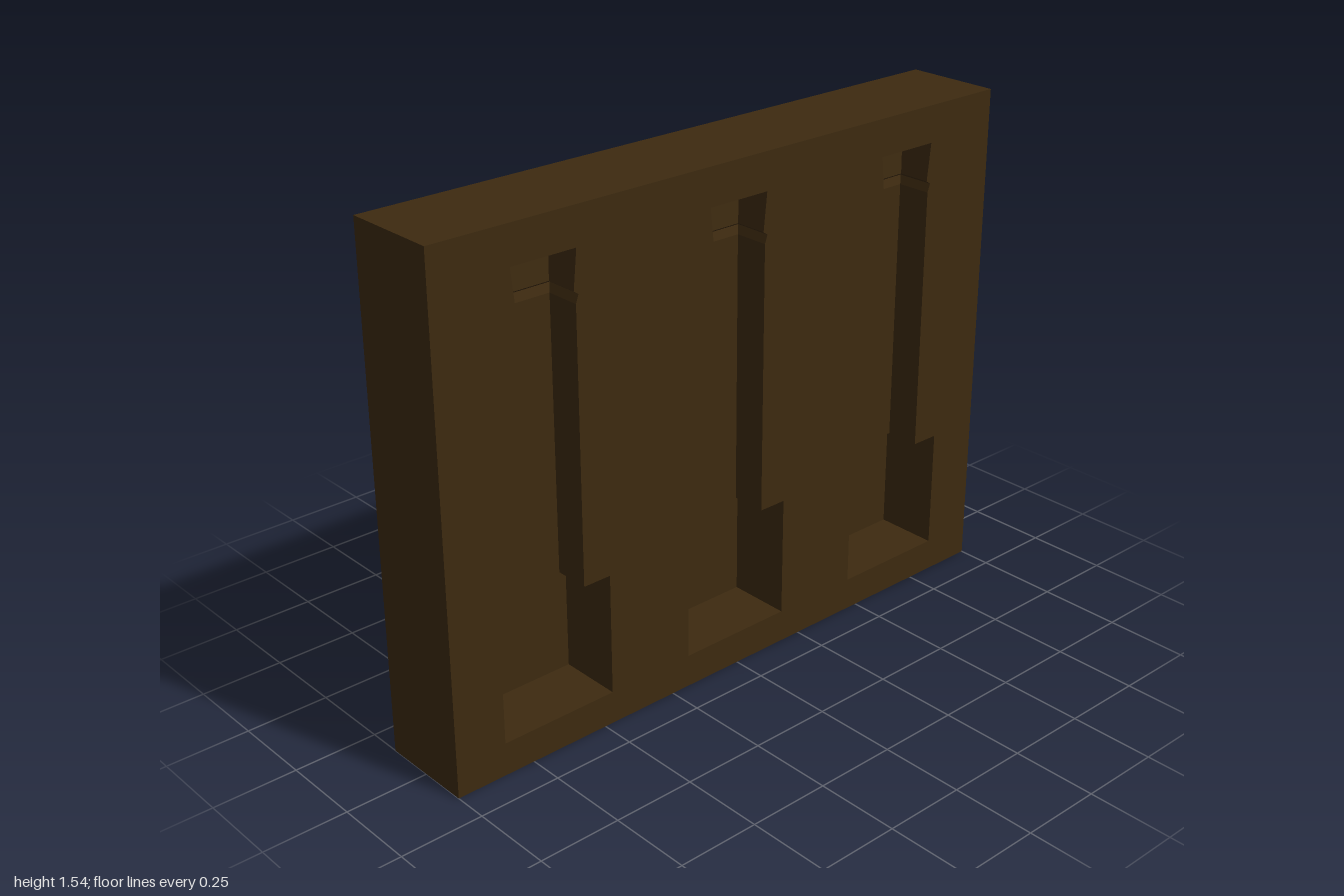
import * as THREE from 'three';

const W = 2, H = 1.54, D = 0.295, FRONT = D / 2;
const CENTRES = [-0.657, -0.005, 0.647];

// Pillar niche sections from bottom to top: [y, half width, depth]
const NICHE = [
  [0.10, 0.185, 0],      // floor
  [0.10, 0.185, 0.195],  // plinth
  [0.47, 0.185, 0.195],
  [0.47, 0.096, 0.107],  // shaft
  [1.28, 0.096, 0.107],
  [1.305, 0.105, 0.116], // collar
  [1.315, 0.09, 0.10],   // neck
  [1.428, 0.102, 0.112], // flared capital
  [1.428, 0.102, 0],     // ceiling
];

// Outline of the niche where it opens in the front face
function nicheOutline(cx) {
  const levels = NICHE.slice(1, -1);
  const right = levels.map(([y, w]) => new THREE.Vector2(cx + w, y));
  const left = levels.map(([y, w]) => new THREE.Vector2(cx - w, y)).reverse();
  return new THREE.Path([...right, ...left]);
}

// Left, back and right walls of the niche, joined section by section
function nicheGeometry() {
  const ring = ([y, w, d]) => [[-w, y, 0], [-w, y, -d], [w, y, -d], [w, y, 0]];
  const pos = [];
  for (let i = 0; i < NICHE.length - 1; i++) {
    const a = ring(NICHE[i]), b = ring(NICHE[i + 1]);
    for (let k = 0; k < 3; k++) {
      pos.push(...a[k], ...a[k + 1], ...b[k + 1], ...a[k], ...b[k + 1], ...b[k]);
    }
  }
  const g = new THREE.BufferGeometry();
  g.setAttribute('position', new THREE.Float32BufferAttribute(pos, 3));
  g.computeVertexNormals();
  return g;
}

export function createModel() {
  const group = new THREE.Group();
  const material = new THREE.MeshStandardMaterial({ color: 0x3d2a10 });
  const add = (name, geometry, x, y, z) => {
    const mesh = new THREE.Mesh(geometry, material);
    mesh.name = name;
    mesh.position.set(x, y, z);
    group.add(mesh);
  };

  // Slab without its front (+z) side
  const slab = new THREE.BoxGeometry(W, H, D);
  const index = Array.from(slab.index.array);
  index.splice(24, 6);
  slab.setIndex(index);
  slab.clearGroups();
  add('slab', slab, 0, H / 2, 0);

  // Front face pierced by the niche openings
  const face = new THREE.Shape([
    new THREE.Vector2(-W / 2, 0), new THREE.Vector2(W / 2, 0),
    new THREE.Vector2(W / 2, H), new THREE.Vector2(-W / 2, H),
  ]);
  face.holes = CENTRES.map(nicheOutline);
  add('frontFace', new THREE.ShapeGeometry(face), 0, 0, FRONT);

  // Sunken pillar niches
  const niche = nicheGeometry();
  CENTRES.forEach((x) => add('pillarNiche', niche, x, 0, FRONT));

  return group;
}
